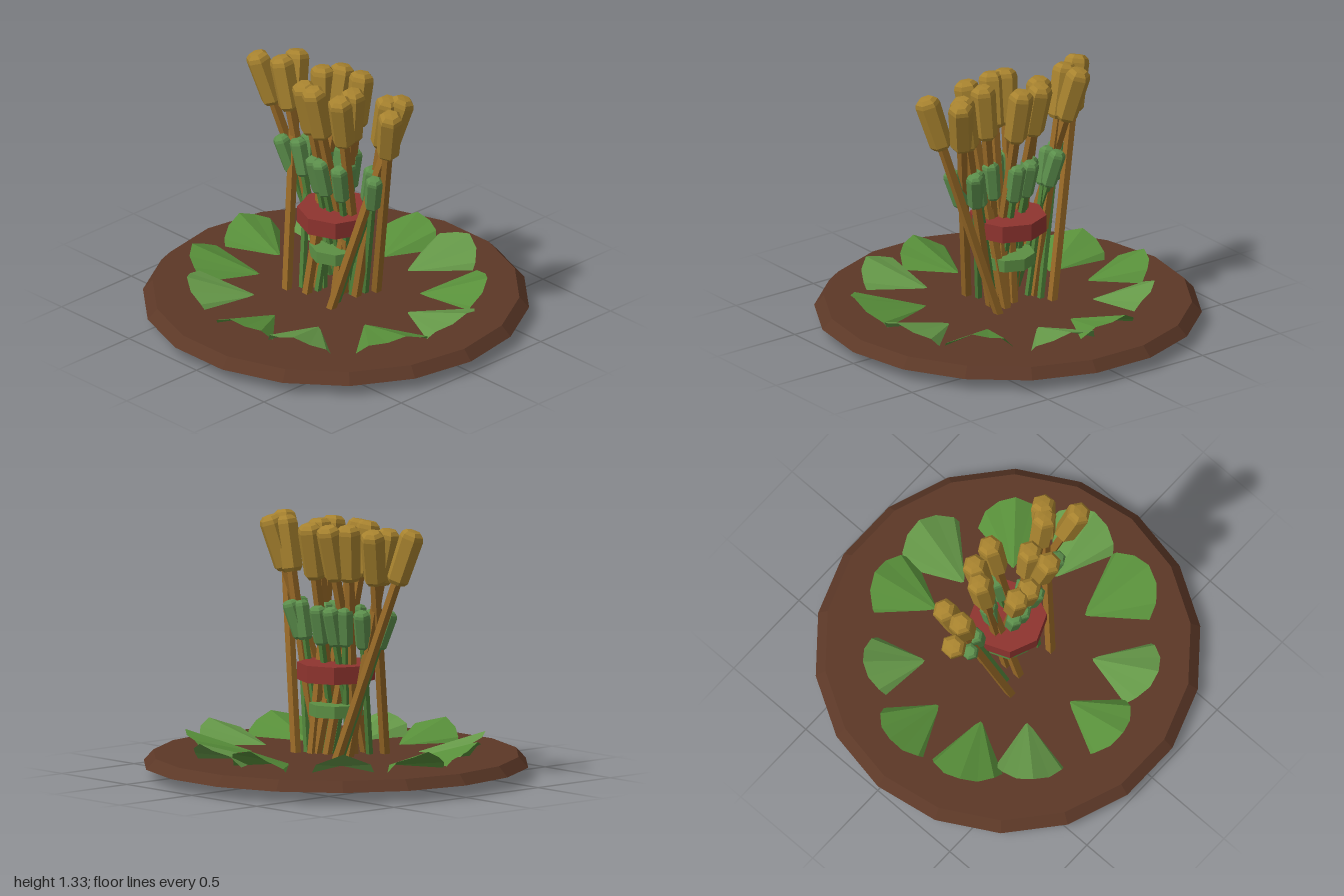
import * as THREE from 'three';

const mat = (color, side = THREE.FrontSide) =>
  new THREE.MeshStandardMaterial({ color, flatShading: true, side });

function part(geometry, material, name, y = 0) {
  const mesh = new THREE.Mesh(geometry, material);
  mesh.name = name;
  mesh.position.y = y;
  return mesh;
}

// Each reed: foot x, z and tip x, z
const REEDS = [
  [0.16, -0.16, -0.08, -0.51], [0.04, -0.13, -0.02, -0.39], [-0.19, -0.17, 0.10, -0.39],
  [-0.06, -0.07, 0.06, -0.16], [-0.15, -0.07, 0.15, -0.10], [-0.07, 0.06, 0.16, 0.03],
  [0.06, 0.01, -0.15, -0.09], [0.08, 0.07, -0.16, -0.01], [0.10, 0.08, -0.14, 0.17],
  [0.0, 0.05, -0.02, 0.15], [0.02, 0.12, 0.05, 0.34], [-0.18, 0.13, 0.11, 0.39],
  [0.14, 0.15, -0.07, 0.48],
];

// Each leaf: apex x, z, the centre of its outer rim x, z, and its roll
const LEAVES = [
  [0.05, -0.46, 0.09, -0.80, 0.02], [0.26, -0.33, 0.47, -0.58, 0],
  [0.40, -0.09, 0.75, -0.18, 0.04], [0.39, 0.11, 0.77, 0.18, -0.02],
  [0.26, 0.33, 0.49, 0.60, -0.04], [0.08, 0.43, 0.14, 0.81, 0],
  [-0.17, 0.38, -0.26, 0.78, 0.03], [-0.35, 0.24, -0.68, 0.39, 0.02],
  [-0.42, -0.01, -0.77, 0.02, -0.03], [-0.34, -0.23, -0.60, -0.47, 0.03],
  [-0.16, -0.38, -0.32, -0.72, -0.02],
];

// Bunch of leaning reeds held by a flat eight-sided binding
function createBunch(name, headColor, stemColor, ringColor) {
  const bunch = new THREE.Group();
  bunch.name = name;
  const headMat = mat(headColor), stemMat = mat(stemColor);
  const foot = 0.056, tip = 1.31, headLength = 0.29;
  const profile = [[0, 0], [0.045, 0], [0.06, 0.02], [0.066, 0.25], [0.06, 0.272], [0.04, 0.29], [0, 0.293]]
    .map(([r, y]) => new THREE.Vector2(r, y));
  const headGeo = new THREE.LatheGeometry(profile, 6).rotateY(Math.PI / 2);
  for (const [x0, z0, x1, z1] of REEDS) {
    const start = new THREE.Vector3(x0, foot, z0);
    const axis = new THREE.Vector3(x1 - x0, tip - foot, z1 - z0);
    const stemLength = axis.length() - headLength;
    const reed = new THREE.Group();
    reed.name = 'reed';
    reed.position.copy(start);
    reed.quaternion.setFromUnitVectors(new THREE.Vector3(0, 1, 0), axis.normalize());
    reed.add(part(new THREE.BoxGeometry(0.037, stemLength + 0.02, 0.037), stemMat, 'stem', stemLength / 2));
    reed.add(part(headGeo, headMat, 'seedHead', stemLength));
    bunch.add(reed);
  }
  bunch.add(part(new THREE.CylinderGeometry(0.2, 0.2, 0.09, 8), mat(ringColor), 'binding', 0.535));
  return bunch;
}

// Pleated fan leaf: apex low near the centre, arched outer rim
function createLeaf([ax, az, rx, rz, roll], material) {
  const angle = Math.atan2(rz - az, rx - ax);
  const length = Math.hypot(rx - ax, rz - az);
  const n = 7, spread = 0.72, pos = [ax, 0.10, az], index = [];
  for (let i = 0; i < n; i++) {
    const t = (2 * i) / (n - 1) - 1;
    const a = angle + t * spread;
    const r = length * (1.03 - 0.2 * t * t);
    const pleat = i % 2 ? 0.008 : -0.008;
    const y = 0.205 - 0.14 * t * t + roll * t + pleat;
    pos.push(ax + r * Math.cos(a), y, az + r * Math.sin(a));
    if (i) index.push(0, i + 1, i);
  }
  const geo = new THREE.BufferGeometry();
  geo.setAttribute('position', new THREE.Float32BufferAttribute(pos, 3));
  geo.setIndex(index);
  geo.computeVertexNormals();
  return part(geo, material, 'leaf');
}

export function createModel() {
  const model = new THREE.Group();
  model.name = 'reedBed';

  // Eighteen-sided soil disc with a bevelled edge
  model.add(part(new THREE.CylinderGeometry(0.95, 1, 0.055, 18), mat(0x5c3827), 'soil', 0.0775));

  // Tall ripe reeds, and a smaller green copy among them
  model.add(createBunch('ripeReeds', 0xa8832f, 0x966826, 0x8f342f));
  const young = createBunch('youngReeds', 0x5c8f4c, 0x4f8038, 0x5c8f44);
  young.scale.setScalar(0.7);
  young.position.y = -0.039;
  model.add(young);

  // Ring of ground leaves
  const greens = [mat(0x588f3a, THREE.DoubleSide), mat(0x659848, THREE.DoubleSide)];
  const leaves = new THREE.Group();
  leaves.name = 'leaves';
  LEAVES.forEach((leaf, i) => leaves.add(createLeaf(leaf, greens[i % 2])));
  model.add(leaves);
  return model;
}
